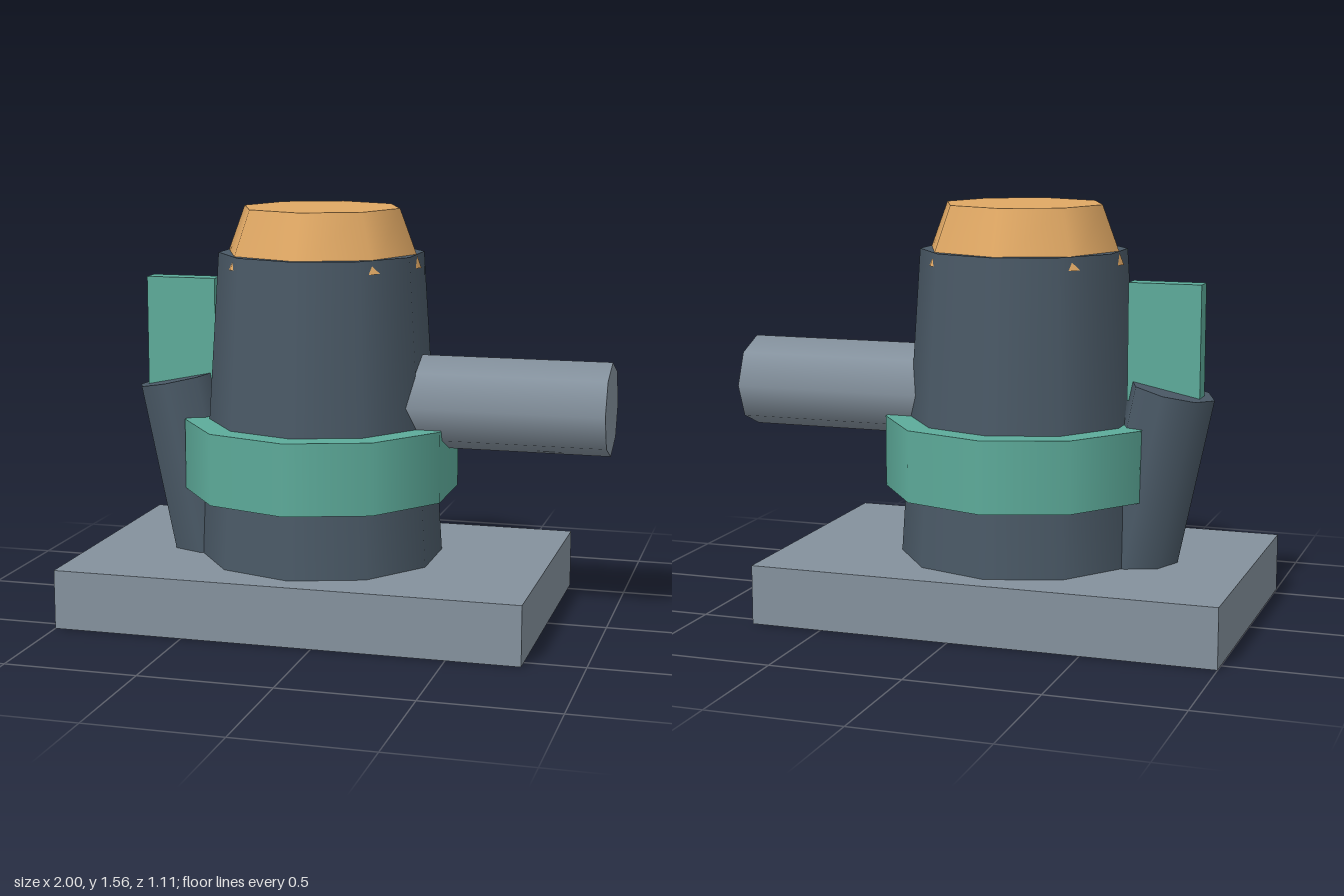
import * as THREE from 'three';

const steel = new THREE.MeshStandardMaterial({ color: 0x84919d });
const dark = new THREE.MeshStandardMaterial({ color: 0x4a5966 });
const teal = new THREE.MeshStandardMaterial({ color: 0x5dab9a });
const amber = new THREE.MeshStandardMaterial({ color: 0xe0a864 });

const CX = -0.113; // shared axis of base and tower

export function createModel() {
  const group = new THREE.Group();

  const add = (name, geometry, material, x, y, z = 0) => {
    const mesh = new THREE.Mesh(geometry, material);
    mesh.name = name;
    mesh.position.set(x, y, z);
    group.add(mesh);
    return mesh;
  };
  const box = (name, material, x0, x1, y0, y1, depth) =>
    add(name, new THREE.BoxGeometry(x1 - x0, y1 - y0, depth), material, (x0 + x1) / 2, (y0 + y1) / 2);
  const drum = (name, material, rTop, rBottom, y0, y1, sides) =>
    add(name, new THREE.CylinderGeometry(rTop, rBottom, y1 - y0, sides), material, CX, (y0 + y1) / 2);

  // Slab underneath
  box('base', steel, -1, 0.775, 0, 0.225, 1.11);

  // Tapered tower, its collar and the cap, whose lower corners poke through the tower
  drum('tower', dark, 0.39, 0.467, 0.22, 1.39, 10);
  drum('collar', teal, 0.526, 0.526, 0.48, 0.75, 10);
  drum('cap', amber, 0.305, 0.388, 1.34, 1.56, 8);

  // Horizontal pipe on the left side
  const pipe = add('sidePipe', new THREE.CylinderGeometry(0.177, 0.177, 0.9, 8), steel, 0.55, 0.835);
  pipe.rotation.z = -Math.PI / 2;

  // Leaning post on the right side, topped by an upright fin
  const tilt = 0.205, length = 0.72;
  const post = add('leaningPost', new THREE.CylinderGeometry(0.162, 0.162, length, 8), dark,
    -0.694 + Math.sin(tilt) * length / 2, 0.882 - Math.cos(tilt) * length / 2);
  post.rotation.z = tilt;
  box('fin', teal, -0.805, -0.53, 0.84, 1.28, 0.08);

  return group;
}
